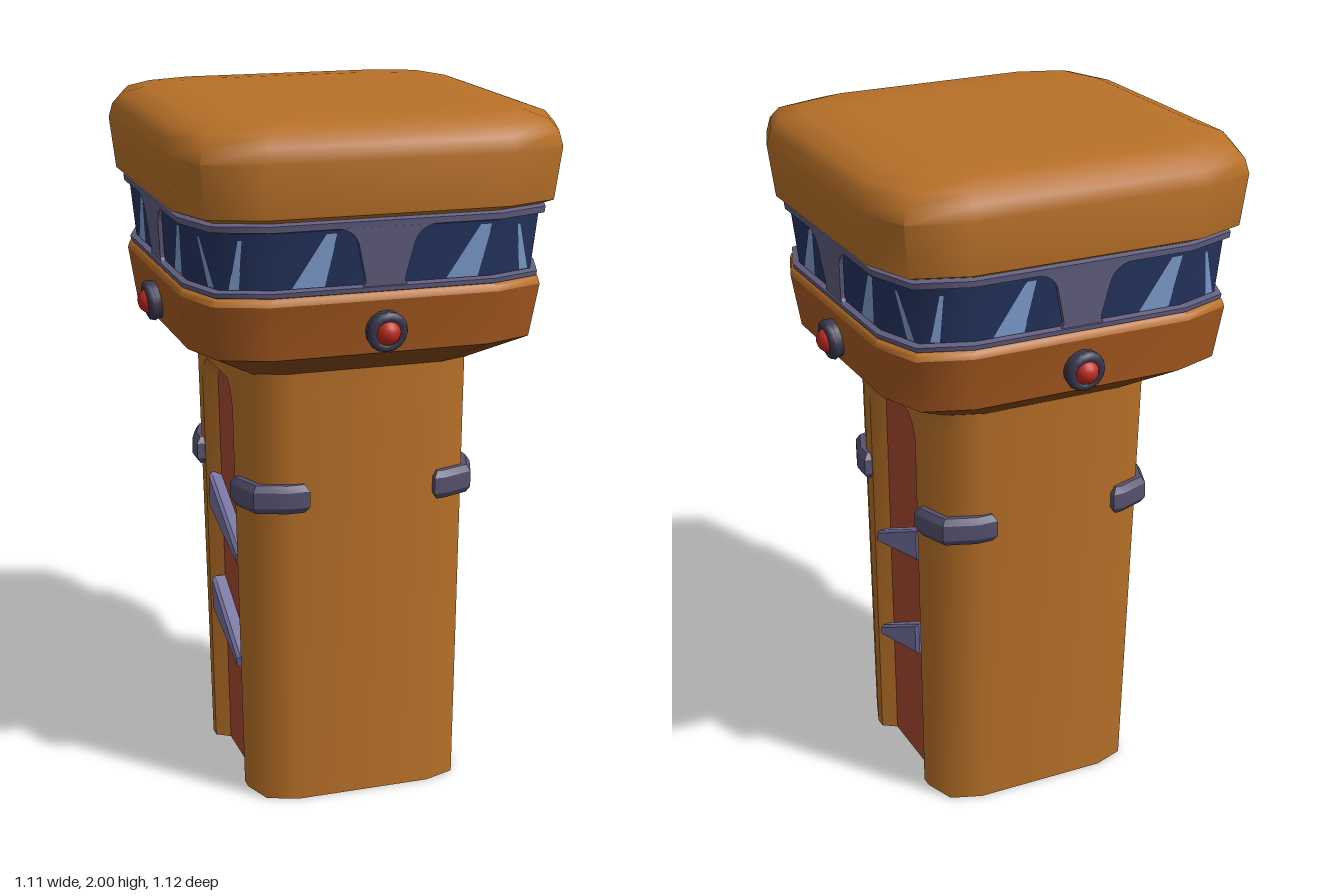
import * as THREE from 'three';
import { toCreasedNormals } from 'three/addons/utils/BufferGeometryUtils.js';

const mat = (color) => new THREE.MeshStandardMaterial({ color, side: THREE.DoubleSide });
const M = {
  orange: mat(0xb87028), collar: mat(0xa85a20), flare: mat(0x84481a), red: mat(0xa84a32),
  frame: mat(0x625e80), clamp: mat(0x55516f), blade: mat(0x7472a0),
  glass: mat(0x24345f), glint: mat(0x7f9fd0), lampRing: mat(0x3a3a50), lamp: mat(0xc02a1c),
};

function add(parent, name, geometry, material) {
  const mesh = new THREE.Mesh(geometry, material);
  mesh.name = name;
  parent.add(mesh);
  return mesh;
}

// Skin a stack of rings; each ring is a list of [x, y, z], listed front -> +x -> back -> -x
function skin(rings, closed = true) {
  const pos = [];
  for (let r = 0; r + 1 < rings.length; r++) {
    const lo = rings[r], hi = rings[r + 1], n = lo.length;
    for (let i = 0; i < (closed ? n : n - 1); i++) {
      const j = (i + 1) % n;
      pos.push(...lo[i], ...lo[j], ...hi[j], ...lo[i], ...hi[j], ...hi[i]);
    }
  }
  const g = new THREE.BufferGeometry();
  g.setAttribute('position', new THREE.Float32BufferAttribute(pos, 3));
  return toCreasedNormals(g, 0.92);
}

// Square section with two-step cut corners
function squareRing(h, y) {
  const ring = [];
  for (let i = 0; i < 4; i++) {
    for (let [x, z] of [[-0.62, 1], [0.62, 1], [0.9, 0.9]]) {
      for (let k = 0; k < i; k++) [x, z] = [z, -x];
      ring.push([x * h, y, z * h]);
    }
  }
  return ring;
}
const squareLoft = (profile) => skin(profile.map(([h, y]) => squareRing(h, y)));

// Shaft ring with a channel on both sides: o = channel edge, i = panel edge, d = depth
function shaftRing([y, o, i, d]) {
  const t = y / 1.28, hx = 0.318 + 0.019 * t, hz = 0.32 + 0.02 * t, cz = 0.03 - 0.022 * t;
  const P = (x, z) => [x, y, z + cz];
  const quarter = [[hx - d, i], [hx, o], [hx, 0.62 * hz], [0.9 * hx, 0.9 * hz], [0.62 * hx, hz]];
  const front = [...quarter.map(([x, z]) => P(-x, z)), ...[...quarter].reverse().map(([x, z]) => P(x, z))];
  const back = [...quarter.map(([x, z]) => P(x, -z)), ...[...quarter].reverse().map(([x, z]) => P(-x, -z))];
  return { front, back, left: [front[9], back[0]], right: [back[9], front[0]] };
}

function buildShaft(root) {
  const shaft = new THREE.Group();
  shaft.name = 'shaft';
  root.add(shaft);
  const rings = [
    [0, 0.165, 0.138, 0.04], [1.15, 0.165, 0.138, 0.04], [1.195, 0.145, 0.108, 0.04],
    [1.222, 0.118, 0.108, 0], [1.3, 0.118, 0.108, 0],
  ].map(shaftRing);
  for (const k of ['front', 'back']) add(shaft, k + 'Wall', skin(rings.map((r) => r[k]), false), M.orange);
  for (const k of ['left', 'right']) {
    add(shaft, k + 'Panel', skin(rings.slice(0, 3).map((r) => r[k]), false), M.red);
    add(shaft, k + 'Lintel', skin(rings.slice(2).map((r) => r[k]), false), M.orange);
  }

  // Slanted wedge braces across each channel
  const wedges = [
    [[-0.165, 0.68], [0.13, 0.76], [0.13, 0.85], [-0.165, 0.705]],
    [[-0.158, 0.36], [0.11, 0.44], [0.11, 0.525], [-0.158, 0.38]],
  ];
  for (const side of [1, -1]) {
    for (const w of wedges) {
      const shape = new THREE.Shape(w.map(([u, y]) => new THREE.Vector2(u, y)));
      const g = new THREE.ExtrudeGeometry(shape, {
        depth: 0.03, bevelEnabled: true, bevelThickness: 0.01, bevelSize: 0.008, bevelSegments: 1,
      });
      g.translate(0, 0, -0.015).rotateY(Math.PI / 2);
      add(shaft, 'brace', g, M.blade).position.x = side * 0.303;
    }
  }

  // Clamps hugging the four corners
  const plan = [[0.212, 0.343], [0.228, 0.343], [0.312, 0.312], [0.343, 0.228], [0.343, 0.18],
    [0.312, 0.18], [0.285, 0.285], [0.212, 0.312]];
  const clampGeo = toCreasedNormals(new THREE.ExtrudeGeometry(
    new THREE.Shape(plan.map(([x, z]) => new THREE.Vector2(x, z))),
    { depth: 0.046, bevelEnabled: true, bevelThickness: 0.018, bevelSize: 0.012, bevelSegments: 1 },
  ).rotateX(Math.PI / 2), 0.5);
  for (let i = 0; i < 4; i++) {
    const clamp = add(shaft, 'cornerClamp', clampGeo, M.clamp);
    clamp.rotation.y = (i * Math.PI) / 2;
    clamp.position.set(0, 0.945, 0.014);
  }
}

// Point on the front glass, following the cut corners
function glassPoint([x, y]) {
  const h = 0.49 + 0.097 * (y - 1.54), a = Math.abs(x) / h;
  return [x, y, a < 0.62 ? h : h * (1 - (0.1 * (a - 0.62)) / 0.28)];
}

function buildHead(root) {
  // The whole head leans forward slightly
  const head = new THREE.Group();
  head.name = 'head';
  head.rotation.x = 0.014;
  head.position.z = -0.022;
  root.add(head);

  add(head, 'flare', squareLoft([[0.335, 1.275], [0.49, 1.365]]), M.flare);
  add(head, 'collar', squareLoft([[0.49, 1.365], [0.512, 1.515]]), M.collar);
  add(head, 'collarLedge', squareLoft([[0.512, 1.515], [0.508, 1.53], [0.48, 1.542]]), M.orange);
  add(head, 'windowGlass', squareLoft([[0.487, 1.535], [0.505, 1.73]]), M.glass);
  add(head, 'windowSill', squareLoft([[0.485, 1.53], [0.503, 1.537], [0.505, 1.55], [0.486, 1.556]]), M.frame);
  add(head, 'windowHeader', squareLoft([[0.502, 1.708], [0.517, 1.713], [0.519, 1.73], [0.5, 1.738]]), M.frame);
  add(head, 'roof', squareLoft([[0.49, 1.728], [0.537, 1.75], [0.553, 1.895], [0.543, 1.935],
    [0.52, 1.965], [0.46, 1.986], [0.36, 1.992], [0.001, 1.996]]), M.orange);

  // Flared mullion, rounded into the sill and header
  const s = new THREE.Shape();
  s.moveTo(-0.085, 0);
  s.lineTo(0.085, 0);
  s.quadraticCurveTo(0.05, 0.004, 0.056, 0.03);
  s.lineTo(0.078, 0.125);
  s.quadraticCurveTo(0.088, 0.16, 0.13, 0.17);
  s.lineTo(-0.13, 0.17);
  s.quadraticCurveTo(-0.088, 0.16, -0.078, 0.125);
  s.lineTo(-0.056, 0.03);
  s.quadraticCurveTo(-0.05, 0.004, -0.085, 0);
  const mullionGeo = new THREE.ExtrudeGeometry(s, { depth: 0.012, bevelEnabled: false, curveSegments: 4 });

  // Glints: bottom-left, bottom-right, top-right, top-left
  const glints = [
    [[-0.255, 1.557], [-0.165, 1.557], [-0.135, 1.7], [-0.165, 1.7]],
    [[0.175, 1.557], [0.265, 1.557], [0.298, 1.7], [0.265, 1.7]],
    [[-0.415, 1.557], [-0.39, 1.557], [-0.385, 1.69], [-0.397, 1.69]],
    [[0.4, 1.557], [0.43, 1.557], [0.392, 1.69], [0.38, 1.69]],
  ].map((q) => {
    const p = q.map(glassPoint);
    return skin([[p[0], p[1]], [p[3], p[2]]], false);
  });

  const ringGeo = new THREE.TorusGeometry(0.042, 0.016, 8, 16);
  const bulbGeo = new THREE.SphereGeometry(0.036, 16, 10);
  const baseGeo = new THREE.CylinderGeometry(0.055, 0.055, 0.04, 16).rotateX(Math.PI / 2);
  for (let i = 0; i < 4; i++) {
    const side = new THREE.Group();
    side.name = 'headSide';
    side.rotation.y = (i * Math.PI) / 2;
    head.add(side);
    const mullion = add(side, 'mullion', mullionGeo, M.frame);
    mullion.position.set(0, 1.545, 0.488);
    mullion.rotation.x = 0.097;
    for (const g of glints) add(side, 'glassGlint', g, M.glint);
    // Signal lamp
    const lamp = new THREE.Group();
    lamp.name = 'signalLamp';
    lamp.position.set(0, 1.43, 0.515);
    lamp.rotation.x = 0.14;
    side.add(lamp);
    add(lamp, 'lampBase', baseGeo, M.lampRing).position.z = -0.015;
    add(lamp, 'lampRing', ringGeo, M.lampRing).position.z = 0.005;
    add(lamp, 'lampBulb', bulbGeo, M.lamp).position.z = 0.006;
  }
}

export function createModel() {
  const root = new THREE.Group();
  root.name = 'controlTower';
  buildShaft(root);
  buildHead(root);
  return root;
}
